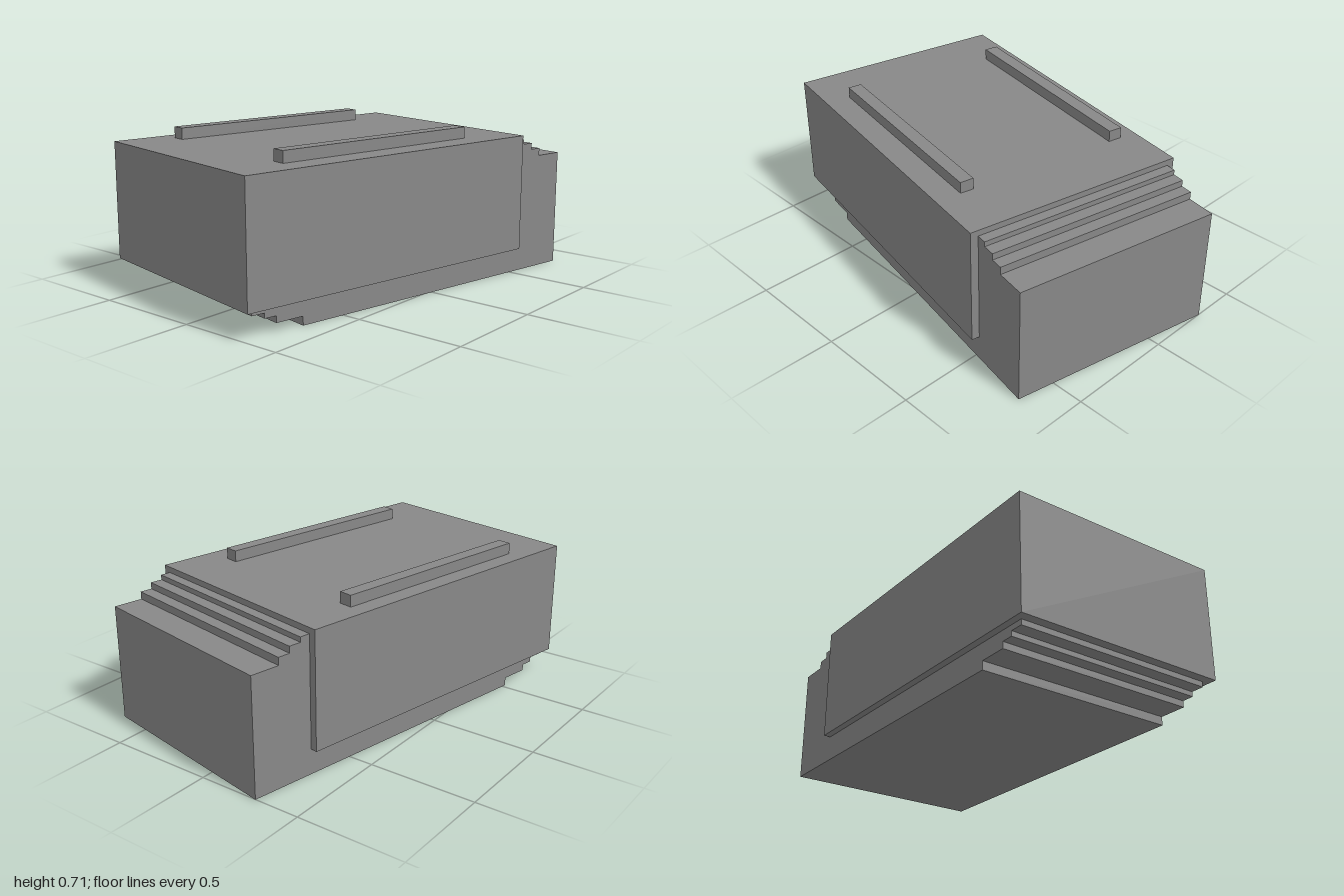
import * as THREE from 'three';

const material = new THREE.MeshStandardMaterial({ color: 0x888888, flatShading: true });

// Box given by its extents along each axis
function block(name, [x0, x1], [y0, y1], [z0, z1]) {
  const mesh = new THREE.Mesh(new THREE.BoxGeometry(x1 - x0, y1 - y0, z1 - z0), material);
  mesh.position.set((x0 + x1) / 2, (y0 + y1) / 2, (z0 + z1) / 2);
  mesh.name = name;
  return mesh;
}

export function createModel() {
  const model = new THREE.Group();
  model.name = 'steppedBox';

  // Everything sits turned about the vertical axis
  const body = new THREE.Group();
  body.name = 'body';
  body.rotation.y = THREE.MathUtils.degToRad(-11);
  model.add(body);

  // Lower tray: stepped underneath at one end and on top at the other
  const profile = [
    [-0.621, 0], [0.928, 0], [0.928, 0.545],
    [0.792, 0.545], [0.792, 0.58], [0.736, 0.58], [0.736, 0.61],
    [0.68, 0.61], [0.68, 0.633], [0.6, 0.633], [0.6, 0.118],
    [-0.871, 0.118], [-0.871, 0.093], [-0.81, 0.093], [-0.81, 0.07],
    [-0.754, 0.07], [-0.754, 0.04], [-0.621, 0.04],
  ].map(([x, y]) => new THREE.Vector2(x, y));
  const trayGeometry = new THREE.ExtrudeGeometry(new THREE.Shape(profile), {
    depth: 0.975, bevelEnabled: false,
  });
  const tray = new THREE.Mesh(trayGeometry, material);
  tray.position.z = -0.473;
  tray.name = 'steppedTray';
  body.add(tray);

  // Main housing resting in the tray
  body.add(block('housing', [-0.914, 0.633], [0.118, 0.66], [-0.506, 0.538]));

  // Pair of rails on the housing
  body.add(block('backRail', [-0.652, 0.367], [0.66, 0.712], [-0.424, -0.36]));
  body.add(block('frontRail', [-0.652, 0.367], [0.66, 0.712], [0.355, 0.419]));

  return model;
}
